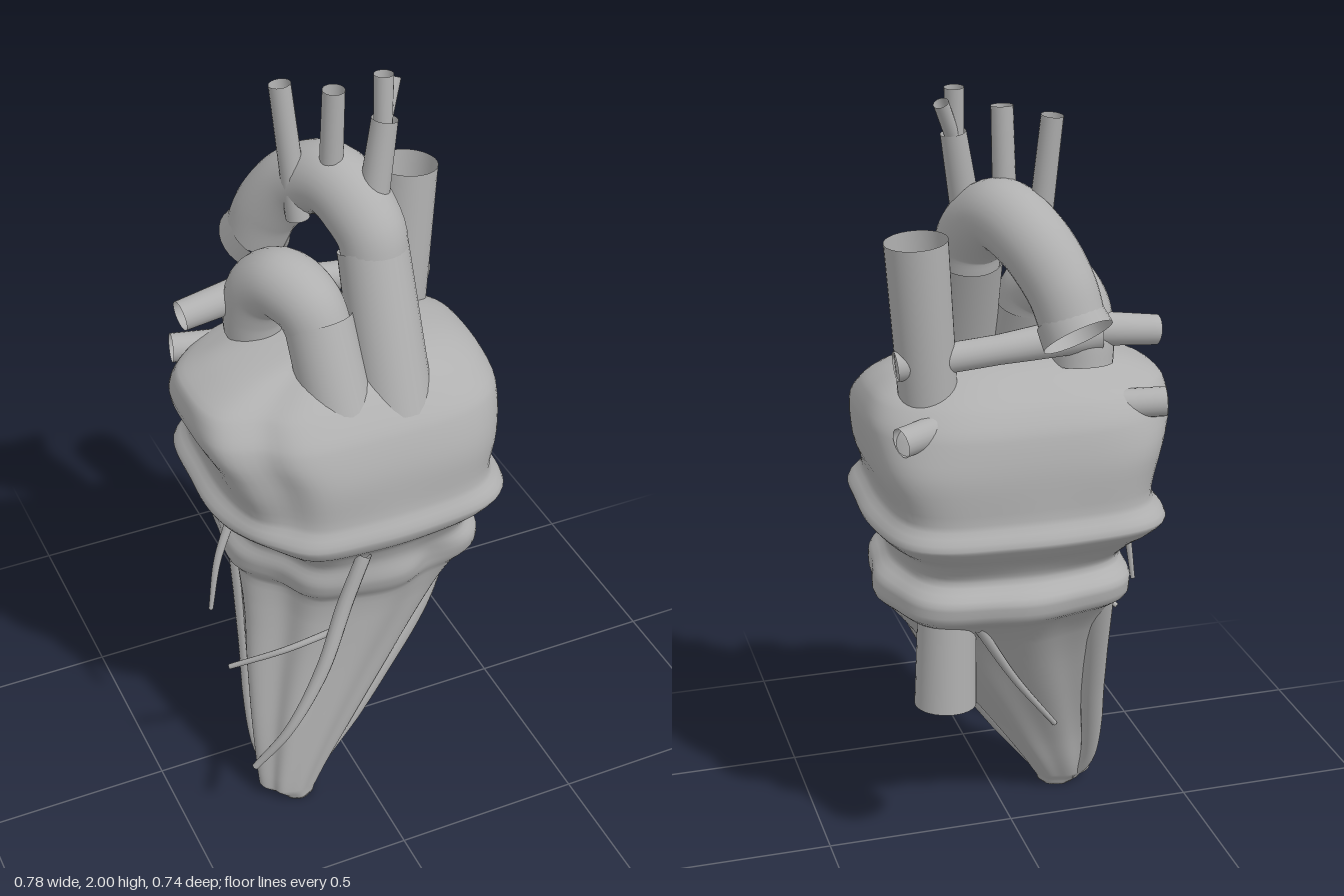
import * as THREE from 'three';

const tissue = new THREE.MeshStandardMaterial({ color: 0xb0b0b0, side: THREE.DoubleSide });
tissue.name = 'grey tissue';

// Heart body sections: y, xMin, xMax, zBack, zFront, squareness, flute depth
const SECTIONS = [
  [0.0, -0.24, -0.135, 0.14, 0.25, 2.1, 0.05],
  [0.04, -0.285, -0.115, 0.115, 0.256, 2.2, 0.06],
  [0.2, -0.288, -0.01, 0.055, 0.258, 2.25, 0.07],
  [0.4, -0.28, 0.13, -0.045, 0.26, 2.3, 0.07],
  [0.6, -0.265, 0.265, -0.16, 0.268, 2.45, 0.06],
  [0.68, -0.265, 0.325, -0.225, 0.278, 2.7, 0.055],
  [0.73, -0.295, 0.365, -0.28, 0.305, 3, 0.045],
  [0.77, -0.295, 0.36, -0.285, 0.315, 3.1, 0.04],
  [0.82, -0.265, 0.315, -0.24, 0.31, 3.2, 0.025],
  [0.87, -0.3, 0.325, -0.265, 0.325, 3.6, 0.015],
  [0.915, -0.345, 0.37, -0.31, 0.36, 4, 0.015],
  [0.945, -0.36, 0.39, -0.33, 0.37, 4.2, 0.015],
  [1.0, -0.325, 0.352, -0.302, 0.348, 4.2, 0.01],
  [1.1, -0.35, 0.377, -0.3, 0.34, 4, 0],
  [1.2, -0.395, 0.388, -0.283, 0.31, 3.7, 0],
  [1.26, -0.385, 0.368, -0.247, 0.265, 3.1, 0],
  [1.3, -0.32, 0.325, -0.195, 0.22, 2.6, 0],
  [1.335, -0.19, 0.22, -0.12, 0.15, 2.3, 0],
  [1.35, -0.01, 0.01, -0.01, 0.01, 2, 0],
];

// Smooth indexed surface from rows of points; rows close round on themselves
function loft(rows) {
  const n = rows[0].length, pos = [], idx = [];
  rows.forEach(r => r.forEach(p => pos.push(p.x, p.y, p.z)));
  for (let i = 0; i < rows.length - 1; i++) {
    for (let j = 0; j < n; j++) {
      const a = i * n + j, b = i * n + (j + 1) % n;
      idx.push(a, a + n, b, b, a + n, b + n);
    }
  }
  const g = new THREE.BufferGeometry();
  g.setAttribute('position', new THREE.Float32BufferAttribute(pos, 3));
  g.setIndex(idx);
  g.computeVertexNormals();
  return g;
}

// Soft hollow of a given depth and width around one angle
const hollow = (a, at, depth, width) => depth * Math.exp(-((a - at) ** 2) / width);

function sectionRow([y, x0, x1, z0, z1, e, flute], n = 112) {
  const row = [], cx = (x0 + x1) / 2, cz = (z0 + z1) / 2;
  const upper = THREE.MathUtils.smoothstep(y, 0.82, 1.1);
  const top = THREE.MathUtils.smoothstep(y, 1.1, 1.22);
  const ring = Math.exp(-((y - 0.76) ** 2) / 0.004);
  const rim = Math.exp(-((y - 0.93) ** 2) / 0.004);
  for (let j = 0; j < n; j++) {
    const t = -j / n * Math.PI * 2, c = Math.cos(t), s = Math.sin(t);
    const r = Math.pow(Math.abs(c) ** e + Math.abs(s) ** e, -1 / e);
    const a = Math.atan2(s, c);
    // hollows: front right corner, back shoulders, notch and flat corner in the rings
    const dent = hollow(a, 2.45, 0.15 * (1 - upper), 0.09) + hollow(a, 2.3, 0.11 * upper, 0.035)
      + hollow(a, -2.4, 0.08 * top, 0.1) + hollow(a, -0.75, 0.05 * top, 0.08)
      + hollow(a, 1.15, 0.07 * ring, 0.03) + hollow(a, -0.75, 0.03 * (ring + rim), 0.12);
    const k = r * (1 - dent - flute * (1 - Math.cos(8 * a + 0.5)) / 2);
    row.push(new THREE.Vector3(cx + (x1 - x0) / 2 * k * c, y, cz + (z1 - z0) / 2 * k * s));
  }
  return row;
}

// Monotone blend between neighbouring sections
function bodyGeometry() {
  const rows = [], N = SECTIONS.length, sub = 4;
  const slope = (i, k) => {
    if (i === 0 || i === N - 1) return 0;
    const A = SECTIONS[i - 1], B = SECTIONS[i], C = SECTIONS[i + 1];
    const p = (B[k] - A[k]) / (B[0] - A[0]), q = (C[k] - B[k]) / (C[0] - B[0]);
    return p * q <= 0 ? 0 : 2 * p * q / (p + q);
  };
  for (let i = 0; i < N - 1; i++) {
    const A = SECTIONS[i], B = SECTIONS[i + 1], h = B[0] - A[0];
    for (let s = 0; s < sub; s++) {
      const t = s / sub, t2 = t * t, t3 = t2 * t;
      rows.push(sectionRow(A.map((v, k) => k === 0 ? v + h * t :
        v * (2 * t3 - 3 * t2 + 1) + B[k] * (3 * t2 - 2 * t3) +
        h * (slope(i, k) * (t3 - 2 * t2 + t) + slope(i + 1, k) * (t3 - t2)))));
    }
  }
  rows.push(sectionRow(SECTIONS[N - 1]));
  const centre = (y, x, z) => Array.from({ length: 112 }, () => new THREE.Vector3(x, y, z));
  rows.unshift(centre(0, -0.19, 0.195));
  rows.push(centre(1.351, 0, 0));
  return loft(rows);
}

export function createModel() {
  const heart = new THREE.Group();
  heart.name = 'heart';
  const add = (name, geometry) => {
    const m = new THREE.Mesh(geometry, tissue);
    m.name = name;
    heart.add(m);
  };

  // Open vessel along a smooth path, radius running through the listed values
  const vessel = (name, points, radii, sides = 28) => {
    const curve = new THREE.CatmullRomCurve3(points.map(p => new THREE.Vector3(...p)));
    const steps = points.length > 2 ? 36 : 6;
    const g = new THREE.TubeGeometry(curve, steps, 1, sides, false);
    const pos = g.attributes.position, v = new THREE.Vector3();
    for (let i = 0; i <= steps; i++) {
      const c = curve.getPointAt(i / steps), f = i / steps * (radii.length - 1);
      const k = Math.max(0, Math.min(Math.floor(f), radii.length - 2));
      const r = radii.length === 1 ? radii[0] : THREE.MathUtils.lerp(radii[k], radii[k + 1], f - k);
      for (let j = 0; j <= sides; j++) {
        const q = i * (sides + 1) + j;
        v.fromBufferAttribute(pos, q).sub(c).multiplyScalar(r).add(c);
        pos.setXYZ(q, v.x, v.y, v.z);
      }
    }
    add(name, g);
  };

  add('heartBody', bodyGeometry());

  // Aorta: rising trunk, arch with flared end and its upper branches
  vessel('ascendingAorta', [[0.092, 1.2, 0.2], [0.095, 1.575, 0.05]], [0.095, 0.087]);
  vessel('aorticArch', [[0.095, 1.54, 0.065], [0.092, 1.62, 0.04], [0.05, 1.702, -0.07],
    [0.0, 1.662, -0.175], [-0.05, 1.565, -0.245], [-0.072, 1.48, -0.275]], [0.08, 0.09, 0.09, 0.087, 0.08]);
  vessel('aorticArchEnd', [[-0.066, 1.495, -0.262], [-0.08, 1.452, -0.292]], [0.083, 0.089]);
  vessel('archBranchRight', [[-0.03, 1.6, -0.11], [-0.06, 1.95, -0.14]], [0.03, 0.027], 20);
  vessel('archBranchMiddle', [[0.03, 1.65, -0.055], [0.035, 1.96, -0.045]], [0.03, 0.027], 20);
  vessel('archBranchLeft', [[0.105, 1.68, 0.025], [0.14, 1.89, 0.01]], [0.038, 0.032], 20);
  vessel('archForkTall', [[0.135, 1.85, 0.012], [0.14, 2.0, 0.0]], [0.022, 0.024], 18);
  vessel('archForkShort', [[0.135, 1.86, 0.01], [0.18, 1.97, -0.032]], [0.018, 0.019], 18);

  // Pulmonary trunk curving back into its two side branches
  vessel('pulmonaryTrunk', [[-0.05, 1.2, 0.195], [-0.068, 1.44, 0.095]], [0.088, 0.084]);
  vessel('pulmonaryArch', [[-0.064, 1.4, 0.11], [-0.085, 1.475, 0.07], [-0.12, 1.5, 0.0],
    [-0.145, 1.46, -0.06], [-0.155, 1.39, -0.09], [-0.155, 1.32, -0.1]], [0.078, 0.088, 0.085, 0.075]);
  vessel('pulmonaryBranchRight', [[-0.1, 1.425, -0.13], [-0.34, 1.395, -0.115]], [0.045, 0.038], 22);
  vessel('pulmonaryBranchLeft', [[-0.18, 1.41, -0.13], [0.05, 1.39, -0.14], [0.325, 1.365, -0.13]],
    [0.05, 0.037, 0.037], 22);

  // Great veins above and below
  vessel('upperGreatVein', [[0.235, 1.2, -0.105], [0.27, 1.67, -0.13]], [0.072, 0.077], 32);
  vessel('lowerGreatVein', [[0.205, 0.8, -0.135], [0.217, 0.46, -0.147]], [0.072, 0.079], 32);

  // Small veins at the back corners
  vessel('backVeinRight', [[-0.18, 1.235, -0.18], [-0.335, 1.24, -0.21]], [0.037], 20);
  vessel('backVeinLeft', [[0.18, 1.23, -0.175], [0.337, 1.205, -0.225]], [0.037], 20);

  // Fine surface vessels
  vessel('frontCoronary', [[-0.045, 0.88, 0.325], [-0.1, 0.74, 0.33], [-0.17, 0.56, 0.35],
    [-0.26, 0.38, 0.345], [-0.34, 0.235, 0.3]], [0.018, 0.02, 0.018, 0.013, 0.009], 12);
  vessel('frontCoronaryBranch', [[-0.13, 0.65, 0.32], [-0.24, 0.595, 0.28], [-0.36, 0.505, 0.19]],
    [0.009, 0.007], 10);
  vessel('sideCoronary', [[-0.3, 0.9, 0.08], [-0.345, 0.78, 0.09], [-0.37, 0.63, 0.095]], [0.013, 0.006], 10);
  vessel('leftCoronary', [[0.29, 0.74, 0.14], [0.27, 0.64, 0.15]], [0.012, 0.009], 10);
  vessel('backCoronary', [[0.14, 0.68, -0.19], [0.01, 0.46, -0.07], [-0.13, 0.26, 0.025]],
    [0.014, 0.007], 10);

  // Rounded ridges down the edges of the cone
  vessel('coneRidgeLeft', [[0.27, 0.8, 0.11], [0.2, 0.55, 0.15], [0.055, 0.32, 0.18], [-0.15, 0.02, 0.2]],
    [0.05, 0.04, 0.035, 0.03, 0.015], 20);
  vessel('coneRidgeRight', [[-0.19, 0.77, -0.15], [-0.225, 0.4, -0.01], [-0.25, 0.1, 0.105],
    [-0.225, 0.02, 0.155]], [0.045, 0.035, 0.03, 0.015], 20);

  return heart;
}
